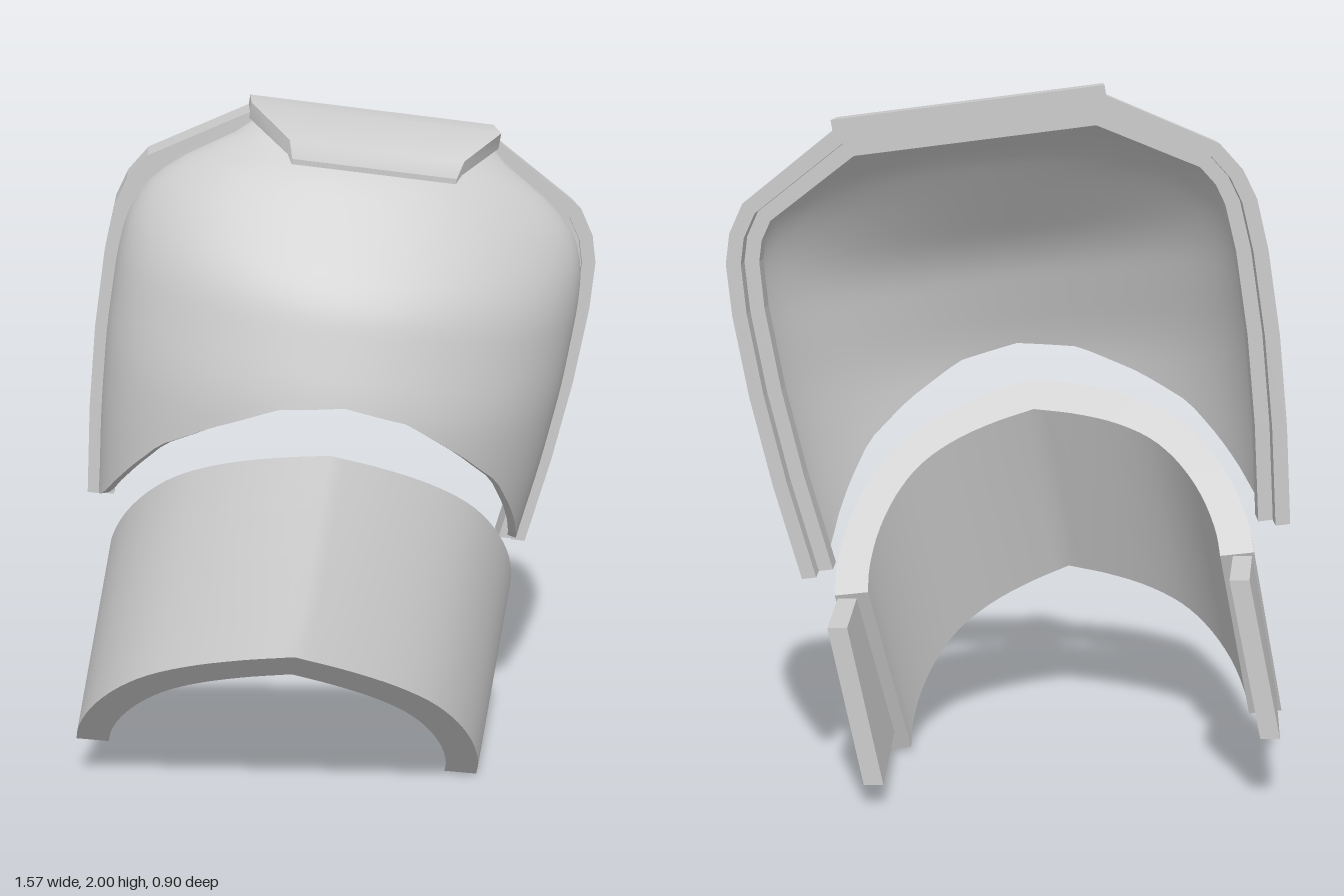
import * as THREE from 'three';
import { mergeGeometries } from 'three/addons/utils/BufferGeometryUtils.js';

const V = (x, y, z) => new THREE.Vector3(x, y, z);
const lerp = THREE.MathUtils.lerp;

// Linear look-up in a short [key, value] table.
function table(rows, k) {
  if (k <= rows[0][0]) return rows[0][1];
  for (let i = 1; i < rows.length; i++) {
    const [k0, v0] = rows[i - 1], [k1, v1] = rows[i];
    if (k <= k1) return lerp(v0, v1, (k - k0) / (k1 - k0));
  }
  return rows[rows.length - 1][1];
}

// Same look-up with the corners rounded off.
function softTable(rows, k) {
  let sum = 0;
  for (let i = -3; i <= 3; i++) sum += table(rows, k + i * 0.02);
  return sum / 7;
}

// Surface from a rule; a runs right and b runs up when seen from its front.
function sheet(fn, na, nb) {
  const pos = [], idx = [];
  for (let j = 0; j <= nb; j++)
    for (let i = 0; i <= na; i++) pos.push(...fn(i / na, j / nb).toArray());
  for (let j = 0; j < nb; j++)
    for (let i = 0; i < na; i++) {
      const p = j * (na + 1) + i, q = p + na + 1;
      idx.push(p, p + 1, q + 1, p, q + 1, q);
    }
  const g = new THREE.BufferGeometry();
  g.setAttribute('position', new THREE.Float32BufferAttribute(pos, 3));
  g.setIndex(idx);
  g.computeVertexNormals();
  return g;
}

// Closed plate between an outer and an inner surface, with sharp rims.
function slab(o, i, na, nb) {
  const mix = (p, q, k) => p.clone().lerp(q, k);
  return mergeGeometries([
    sheet(o, na, nb),
    sheet((a, b) => i(1 - a, b), na, nb),
    sheet((a, b) => mix(i(a, 0), o(a, 0), b), na, 1),
    sheet((a, b) => mix(o(a, 1), i(a, 1), b), na, 1),
    sheet((a, b) => mix(o(1, b), i(1, b), a), 1, nb),
    sheet((a, b) => mix(i(0, b), o(0, b), a), 1, nb),
  ]);
}

// Leaning placement shared by the upper parts.
const lean = new THREE.Matrix4().makeBasis(V(0.992, -0.127, 0.036), V(0.167, 0.987, 0), V(0, 0, 1))
  .setPosition(-0.032, 1.004, 0);

// Half outline of the arch: x, y and inward direction.
const outline = [
  [0.675, -0.27, -1, 0], [0.705, 0, -1, 0], [0.722, 0.25, -1, 0], [0.725, 0.48, -1, 0],
  [0.715, 0.62, -1, -0.15], [0.69, 0.7, -0.9, -0.45], [0.64, 0.775, -0.7, -0.75], [0.36, 0.94, -0.4, -1],
];

function arch(inset0, inset1, zBack, zFront) {
  const line = (d) => {
    const half = outline.map(([x, y, nx, ny]) => [x + nx * d, y + ny * d]);
    return [...half, ...half.map(([x, y]) => [-x, y]).reverse()];
  };
  const pts = [...line(inset0), ...line(inset1).reverse()];
  const shape = new THREE.Shape(pts.map(([x, y]) => new THREE.Vector2(x, y)));
  return new THREE.ExtrudeGeometry(shape, { depth: zFront - zBack, bevelEnabled: false })
    .translate(0, 0, zBack).applyMatrix4(lean);
}

// Bulging shell: lower edge, half width and bulge depth.
const lowerEdge = [[0, 0.22], [0.27, 0.19], [0.53, 0.1], [0.73, 0.01], [0.85, -0.09], [0.92, -0.16], [1, -0.26]];
const halfWidth = [[-0.27, 0.64], [0, 0.67], [0.25, 0.687], [0.5, 0.688], [0.64, 0.67], [0.76, 0.59], [0.92, 0.32]];
const bulge = [[0.14, 0.5], [0.22, 0.49], [0.5, 0.41], [0.84, 0.165], [0.92, 0.06]];

// The model's left flank (t > 0) is a little flatter than its right.
function shellPoint(a, b) {
  const angle = (a - 0.5) * Math.PI, t = Math.sin(angle);
  const y = lerp(table(lowerEdge, Math.abs(t)), 0.92, b);
  const curve = Math.max(Math.cos(angle), 0) ** (1.12 + 0.12 * t);
  return V(t * softTable(halfWidth, y), y, -0.255 + softTable(bulge, y) * curve);
}

// Cap over the top: z, half width, top and bottom height, from front to back.
const capRows = [
  [-0.075, 0.235, 0.845, 0.83], [-0.09, 0.25, 0.895, 0.855],
  [-0.25, 0.365, 0.965, 0.92], [-0.42, 0.365, 0.965, 0.9],
];
const capPoint = (k) => (a, b) => {
  const r = capRows[Math.round(b * 3)];
  return V((a * 2 - 1) * r[1], r[k], r[0]);
};

// Lower band: an arch profile swept down and forward, its shoulders flatter at the bottom.
const bandMid = V(-0.075, 0.6, -0.14), bandSide = V(0.605, -0.07, 0.015);
const bandRise = V(0.035, 0.5, 0.42), bandSweep = V(-0.11, -0.53, 0.17);
const bandHalf = [[1, 0], [0.99, 0.14], [0.93, 0.36], [0.82, 0.57], [0.68, 0.73], [0.49, 0.85], [0.25, 0.94], [0, 1]];
const bandCurve = new THREE.CatmullRomCurve3(bandHalf.map(([x, y]) => V(x, y, 0)));

const bandPoint = (scale) => (a, b) => {
  const t = a * 2 - 1;
  const p = bandCurve.getPoint(1 - Math.abs(t)).multiplyScalar(scale);
  const flatten = 0.04 * Math.sin(Math.abs(t) * Math.PI) * (1 - b);
  return bandMid.clone().addScaledVector(bandSide, Math.sign(t) * p.x)
    .addScaledVector(bandRise, p.y - flatten).addScaledVector(bandSweep, 1 - b);
};

// Flat pad reaching back from one end of the band, toeing in by a given amount.
function pad(side, toeIn) {
  const point = (inset) => (a, b) => {
    const p = bandMid.clone().addScaledVector(bandSide, side * 0.99)
      .addScaledVector(bandSweep, lerp(0.88, 0.02, b));
    const back = side > 0 ? a : 1 - a;
    p.x -= side * (inset + toeIn * back);
    p.z = lerp(p.z + 0.01, -0.425, back);
    return p;
  };
  return slab(point(0), point(0.055), 1, 1);
}

export function createModel() {
  const model = new THREE.Group();
  const material = new THREE.MeshStandardMaterial({ color: 0xcccccc });
  const add = (name, geometry) => {
    const mesh = new THREE.Mesh(geometry, material);
    mesh.name = name;
    model.add(mesh);
  };

  const shellInner = (a, b) => {
    const p = shellPoint(a, b);
    return V(p.x * 0.965, p.y, p.z - 0.02);
  };
  add('upperShell', slab(shellPoint, shellInner, 48, 28).applyMatrix4(lean));
  add('archFrame', arch(0, 0.04, -0.42, -0.255));
  add('archInnerLip', arch(0.04, 0.08, -0.35, -0.265));
  add('topCap', slab(capPoint(2), capPoint(3), 1, 3).applyMatrix4(lean));
  add('lowerBand', slab(bandPoint(1), bandPoint(0.84), 48, 4));
  add('leftPad', pad(1, 0));
  add('rightPad', pad(-1, 0.035));
  return model;
}
